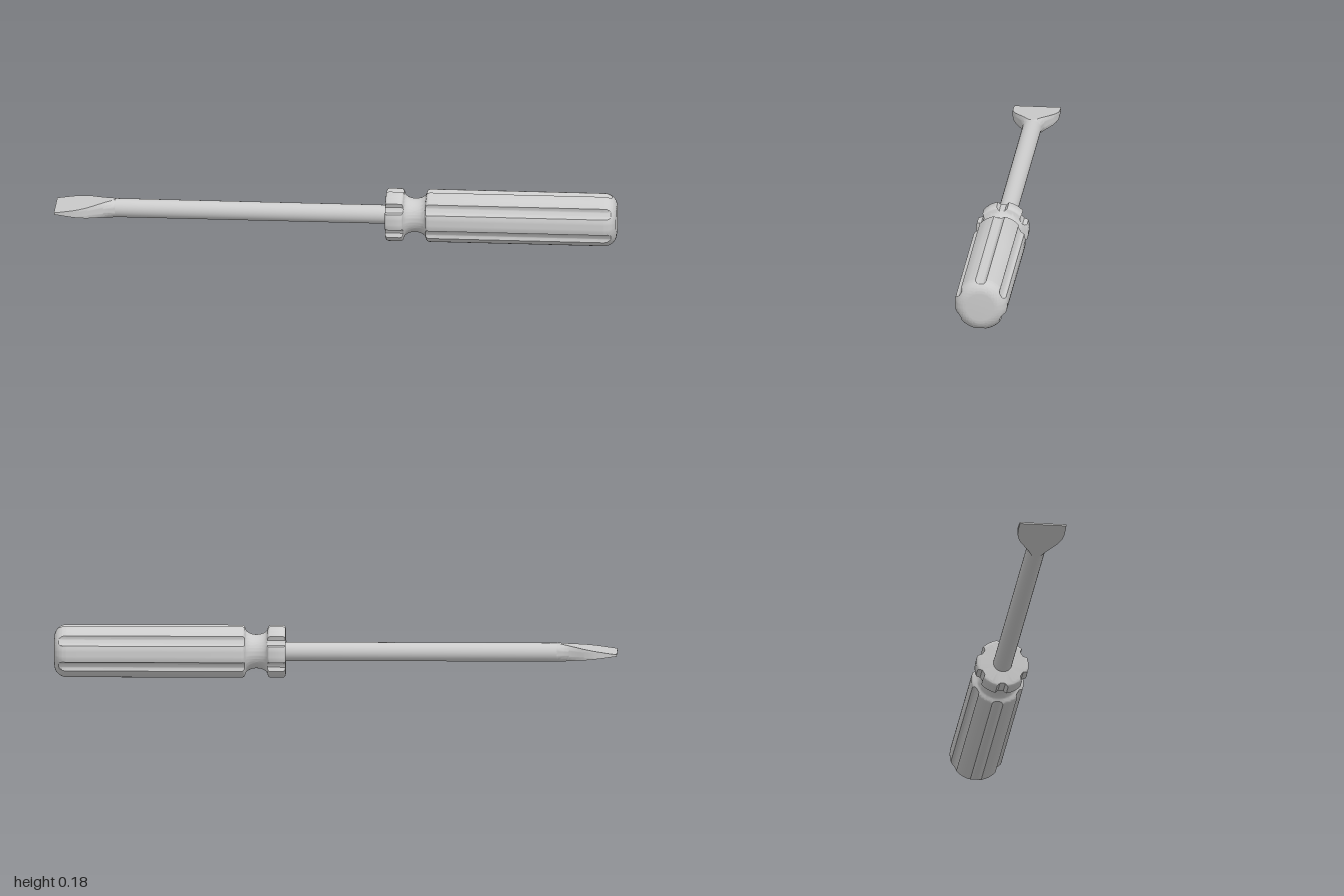
import * as THREE from 'three';
import { toCreasedNormals } from 'three/addons/utils/BufferGeometryUtils.js';

const AXIS_Y = 0.092;
const SHAFT_R = 0.0335;

// Skin a list of closed rings (ordered along +x, turning from y to z) and cap both ends.
function loft(rings, crease) {
  const out = [];
  const tri = (a, b, c) => {
    const area = b.clone().sub(a).cross(c.clone().sub(a)).length();
    if (area > 1e-9) for (const p of [a, b, c]) out.push(p.x, p.y, p.z);
  };
  const n = rings[0].length;
  for (let i = 0; i < rings.length - 1; i++) {
    for (let j = 0; j < n; j++) {
      const k = (j + 1) % n, a = rings[i], b = rings[i + 1];
      tri(a[j], a[k], b[j]);
      tri(a[k], b[k], b[j]);
    }
  }
  const cap = (ring, flip) => {
    const mid = ring.reduce((s, p) => s.add(p), new THREE.Vector3()).divideScalar(n);
    for (let j = 0; j < n; j++) {
      const p = ring[j], q = ring[(j + 1) % n];
      flip ? tri(mid, q, p) : tri(mid, p, q);
    }
  };
  cap(rings[0], true);
  cap(rings[rings.length - 1], false);
  const g = new THREE.BufferGeometry();
  g.setAttribute('position', new THREE.Float32BufferAttribute(out, 3));
  return toCreasedNormals(g, crease);
}

// Quarter-round profile points around (cx, cr), from angle a0 to a1.
function round(cx, cr, rx, rr, a0, a1, steps) {
  return Array.from({ length: steps + 1 }, (_, i) => {
    const a = a0 + (a1 - a0) * i / steps;
    return [cx + rx * Math.cos(a), cr + rr * Math.sin(a)];
  });
}

// Groove cross-section: angle from the groove centre (degrees) and depth.
const HALF = [[0, 0.0105], [4, 0.0103], [7, 0.0095], [9, 0.007], [10.5, 0.004], [12, 0],
  [16, 0], [20, 0], [25, 0], [30, 0]];
const SECTOR = [...HALF.slice(1, -1).reverse().map(([a, d]) => [-a, d]), ...HALF];

function handleGeometry() {
  const R = 0.094, H = Math.PI / 2;
  const profile = [
    // collar
    [0.178, 0.03], [0.178, 0.078],
    ...round(0.19, 0.082, 0.012, 0.012, Math.PI, H, 5),
    ...round(0.23, 0.082, 0.012, 0.012, H, 0, 5),
    // waisted neck
    ...round(0.282, 0.084, 0.04, 0.024, Math.PI, 2 * Math.PI, 12),
    // grip and domed end
    ...round(0.335, 0.082, 0.013, 0.012, Math.PI, H, 4),
    [0.6, R], [0.9, R],
    ...round(0.955, 0.05, 0.045, 0.044, H, 0, 14),
  ];
  const rings = profile.map(([x, r]) => {
    const deeper = x < 0.26 ? 1.5 : 1;
    const ring = [];
    for (let s = 0; s < 6; s++) {
      for (const [deg, depth] of SECTOR) {
        const t = THREE.MathUtils.degToRad(s * 60 + deg);
        const q = Math.min(r, R - depth * deeper);
        ring.push(new THREE.Vector3(x, q * Math.cos(t), q * Math.sin(t)));
      }
    }
    return ring;
  });
  return loft(rings, 0.55);
}

// Flared round bar cut by two flat planes that meet near the tip.
function bladeGeometry() {
  const outline = new THREE.CatmullRomCurve3([
    [-1, 0.083], [-0.96, 0.084], [-0.92, 0.082], [-0.885, 0.071],
    [-0.85, 0.052], [-0.82, 0.039], [-0.785, SHAFT_R],
  ].map(([x, w]) => new THREE.Vector3(x, w, 0)));
  const rings = outline.getPoints(36).map(({ x, y: w }) => {
    const h = THREE.MathUtils.mapLinear(x, -1, -0.785, 0.003, SHAFT_R);
    const a = Math.asin(Math.min(1, h / w));
    const ring = [];
    for (const side of [1, -1]) {
      for (let i = 0; i <= 12; i++) {
        const t = side * a * (1 - i / 6);
        ring.push(new THREE.Vector3(x, w * Math.sin(t), side * w * Math.cos(t)));
      }
    }
    return ring;
  });
  return loft(rings, 0.5);
}

export function createModel() {
  const model = new THREE.Group();
  model.name = 'screwdriver';
  const material = new THREE.MeshStandardMaterial({ color: 0xcccccc });
  const add = (name, geometry) => {
    const mesh = new THREE.Mesh(geometry, material);
    mesh.name = name;
    mesh.position.y = AXIS_Y;
    model.add(mesh);
  };

  add('handle', handleGeometry());
  add('blade', bladeGeometry());

  // round shaft between blade and collar
  const x0 = -0.785, x1 = 0.2;
  const shaft = new THREE.CylinderGeometry(SHAFT_R, SHAFT_R, x1 - x0, 32, 1, true);
  shaft.rotateZ(-Math.PI / 2).translate((x0 + x1) / 2, 0, 0);
  add('shaft', shaft);

  return model;
}
